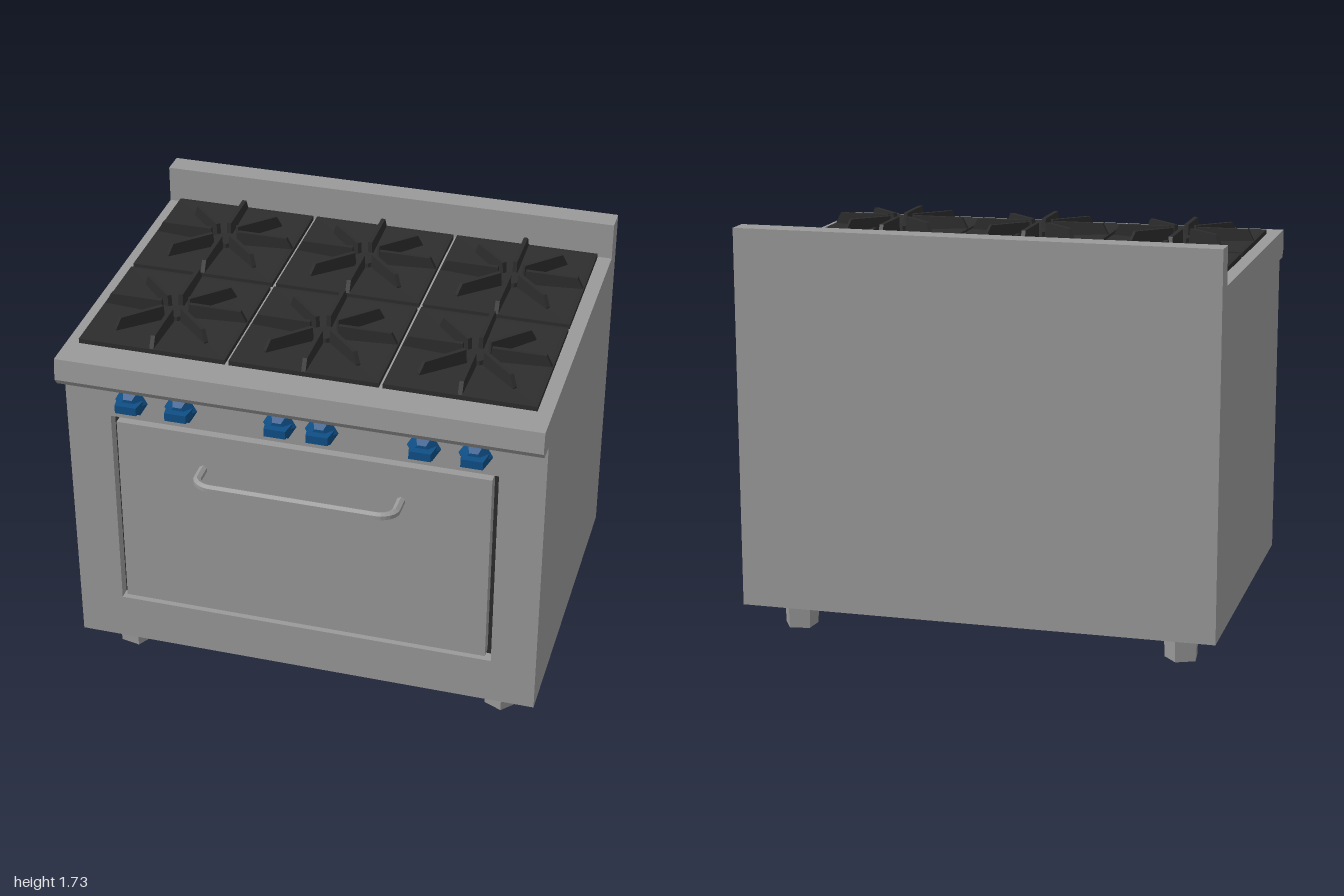
import * as THREE from 'three';

const steel = new THREE.MeshStandardMaterial({ color: 0x999999 });
const iron = new THREE.MeshStandardMaterial({ color: 0x2d2d2d });
const blue = new THREE.MeshStandardMaterial({ color: 0x0f4f86 });
steel.name = 'brushed steel';
iron.name = 'cast iron';
blue.name = 'blue knob';

// Faceted normals for low-poly parts
function facet(geo) {
  const g = geo.index ? geo.toNonIndexed() : geo;
  g.computeVertexNormals();
  return g;
}

function add(parent, name, geo, mat, x = 0, y = 0, z = 0) {
  const mesh = new THREE.Mesh(geo, mat);
  mesh.name = name;
  mesh.position.set(x, y, z);
  parent.add(mesh);
  return mesh;
}

function polygon(points) {
  return new THREE.Shape(points.map(([x, y]) => new THREE.Vector2(x, y)));
}

function extrude(shape, depth) {
  return new THREE.ExtrudeGeometry(shape, { depth, bevelEnabled: false });
}

const rect = (x, y0, y1) => [[-x, y0], [x, y0], [x, y1], [-x, y1]];

function makeGrate() {
  const grate = new THREE.Group();
  grate.name = 'burnerGrate';

  // Square tray, dished towards the middle
  const profile = [[0.309, 0], [0.309, 0.02], [0.29, 0.02], [0.05, 0.006], [0, 0.006]]
    .map(([r, y]) => new THREE.Vector2(r * Math.SQRT2, y));
  add(grate, 'tray', facet(new THREE.LatheGeometry(profile, 4, Math.PI / 4)), iron);
  add(grate, 'burnerCap', facet(new THREE.CylinderGeometry(0.052, 0.055, 0.024, 8)), iron, 0, 0.013, 0)
    .rotation.y = Math.PI / 8;

  // Eight radial fins: long ones to the sides, short ones to the corners
  for (let i = 0; i < 8; i++) {
    const end = i % 2 ? 0.275 : 0.305;
    const fin = extrude(polygon([[0.055, 0.005], [end, 0.005], [end, 0.02], [end - 0.025, 0.068], [0.06, 0.068]]), 0.018);
    fin.translate(0, 0, -0.009);
    add(grate, 'fin', fin, iron).rotation.y = i * Math.PI / 4;
  }
  return grate;
}

function makeKnob() {
  const knob = new THREE.Group();
  knob.name = 'knob';
  // Six-sided skirt with corners pointing sideways
  const skirt = new THREE.CylinderGeometry(0.036, 0.07, 0.042, 6);
  skirt.rotateY(Math.PI / 6).rotateX(Math.PI / 2);
  // The cylinder's corners now lie on the x axis
  add(knob, 'skirt', facet(skirt), blue, 0, 0, 0.021);
  // Horizontal finger grip, narrowing outwards
  const grip = extrude(polygon([[-0.055, 0.01], [0.055, 0.01], [0.045, 0.073], [-0.045, 0.073]]), 0.036);
  grip.translate(0, 0, -0.018).rotateX(Math.PI / 2);
  add(knob, 'grip', grip, blue);
  return knob;
}

export function createModel() {
  const model = new THREE.Group();
  model.name = 'kitchenRange';

  // Cabinet, front lip and backsplash share one side profile
  const side = polygon([
    [-0.785, 0.14], [0.58, 0.14], [0.58, 1.448], [0.717, 1.448], [0.74, 1.478],
    [0.73, 1.57], [-0.685, 1.57], [-0.685, 1.73], [-0.785, 1.73],
  ]);
  const cabinet = extrude(side, 2);
  cabinet.rotateY(-Math.PI / 2).translate(1, 0, 0);
  add(model, 'cabinet', cabinet, steel);

  // Front frame with the oven opening
  const front = polygon(rect(1, 0.14, 1.448));
  front.holes.push(polygon(rect(0.81, 0.347, 1.275)));
  add(model, 'frontFrame', extrude(front, 0.057), steel, 0, 0, 0.58);

  // Dark gap behind the door, then the door itself
  add(model, 'doorGap', new THREE.BoxGeometry(1.62, 0.928, 0.008), iron, 0, 0.811, 0.584);
  add(model, 'ovenDoor', new THREE.BoxGeometry(1.57, 0.882, 0.06), steel, 0, 0.811, 0.61);

  // Bent door handle
  const p = (x, z) => new THREE.Vector3(x, 1.087, z);
  const path = new THREE.CurvePath();
  path.add(new THREE.LineCurve3(p(-0.417, 0.637), p(-0.417, 0.72)));
  path.add(new THREE.QuadraticBezierCurve3(p(-0.417, 0.72), p(-0.41, 0.755), p(-0.36, 0.769)));
  path.add(new THREE.LineCurve3(p(-0.36, 0.769), p(0.36, 0.769)));
  path.add(new THREE.QuadraticBezierCurve3(p(0.36, 0.769), p(0.41, 0.755), p(0.417, 0.72)));
  path.add(new THREE.LineCurve3(p(0.417, 0.72), p(0.417, 0.637)));
  add(model, 'doorHandle', facet(new THREE.TubeGeometry(path, 60, 0.018, 6)), steel);

  // Control knobs in three pairs
  for (const x of [-0.716, -0.505, -0.088, 0.086, 0.505, 0.714]) {
    const knob = makeKnob();
    knob.position.set(x, 1.36, 0.637);
    model.add(knob);
  }

  // Six burners
  for (const x of [-0.638, -0.003, 0.631]) {
    for (const z of [-0.364, 0.279]) {
      const grate = makeGrate();
      grate.position.set(x, 1.571, z);
      model.add(grate);
    }
  }

  // Tapered five-sided feet
  for (const x of [-0.825, 0.825]) {
    for (const z of [-0.567, 0.457]) {
      const foot = facet(new THREE.CylinderGeometry(0.078, 0.072, 0.14, 5));
      add(model, 'foot', foot, steel, x, 0.07, z).rotation.y = x > 0 ? 0.21 : 0.42;
    }
  }
  return model;
}
